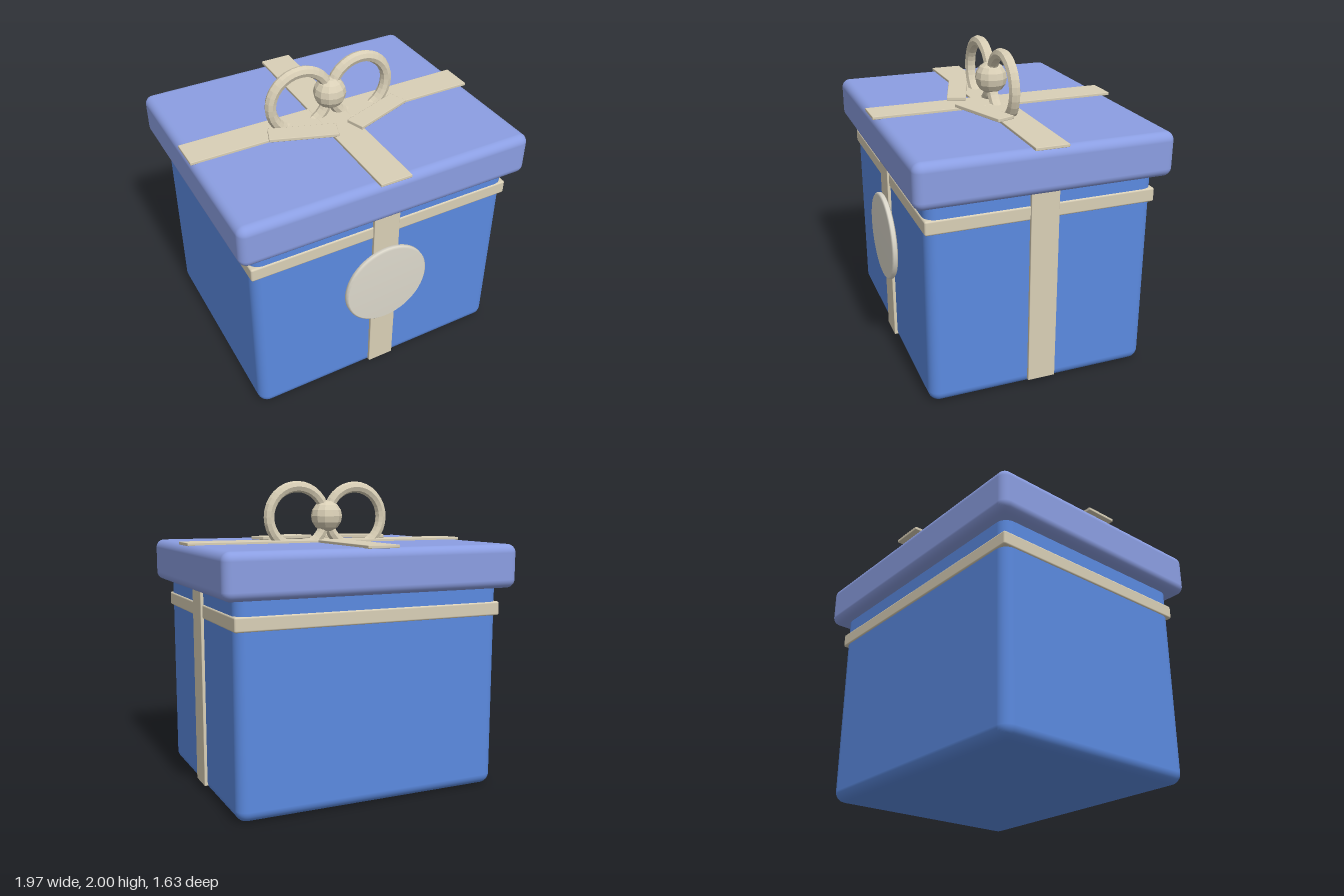
import * as THREE from 'three';
import { RoundedBoxGeometry } from 'three/addons/geometries/RoundedBoxGeometry.js';

const mat = (color, flatShading = false) => new THREE.MeshStandardMaterial({ color, flatShading });

export function createModel() {
  const group = new THREE.Group();
  const blue = mat(0x5b8ae0);
  const paleBlue = mat(0x8b9ee2);
  const ribbon = mat(0xd9cfb6);
  const bowMat = mat(0xd9cfb6, true);
  const cream = mat(0xdcd8cb);

  const add = (name, geometry, material, x, y, z) => {
    const mesh = new THREE.Mesh(geometry, material);
    mesh.name = name;
    mesh.position.set(x, y, z);
    group.add(mesh);
    return mesh;
  };
  const rounded = (w, h, d, r, s = 4) => new RoundedBoxGeometry(w, h, d, s, r);

  // Box and overhanging lid
  add('boxBody', rounded(1.775, 1.4, 1.44, 0.07), blue, 0, 0.705, 0);
  add('lid', rounded(1.955, 0.28, 1.605, 0.055), paleBlue, 0, 1.46, 0);

  // Ribbon band around the body
  add('ribbonBand', rounded(1.79, 0.09, 1.455, 0.012, 2), ribbon, 0, 1.185, 0);

  // Upright ribbons, on the front and the model's left side only
  add('frontRibbon', rounded(0.18, 1.3, 0.03, 0.004, 1), ribbon, 0, 0.695, 0.725);
  add('sideRibbon', rounded(0.03, 1.3, 0.18, 0.004, 1), ribbon, 0.892, 0.695, 0);

  // Crossed ribbons on the lid
  add('lidRibbonAcross', rounded(1.965, 0.02, 0.21, 0.004, 1), ribbon, 0, 1.606, 0);
  add('lidRibbonAlong', rounded(0.21, 0.02, 1.63, 0.004, 1), ribbon, 0, 1.607, 0);

  // Round tag with softened rims
  const tagProfile = [[0, -0.02], [0.28, -0.02], [0.292, -0.01], [0.292, 0.01], [0.28, 0.02], [0, 0.02]]
    .map(([r, y]) => new THREE.Vector2(r, y));
  const tag = add('tag', new THREE.LatheGeometry(tagProfile, 48), cream, 0, 0.76, 0.757);
  tag.rotation.x = Math.PI / 2;

  // Bow: two loops sunk into the lid, two flat tails and a knot
  for (const side of [-1, 1]) {
    const name = side > 0 ? 'left' : 'right';
    add(name + 'BowLoop', new THREE.TorusGeometry(0.2, 0.037, 8, 32), bowMat, side * 0.21, 1.763, 0);
    const tail = add(name + 'BowTail', rounded(0.43, 0.022, 0.125, 0.004, 1), ribbon, side * 0.263, 1.629, 0.147);
    tail.rotation.y = side * 0.34;
  }
  add('bowKnot', new THREE.SphereGeometry(0.105, 12, 8), bowMat, 0, 1.77, 0);

  return group;
}
